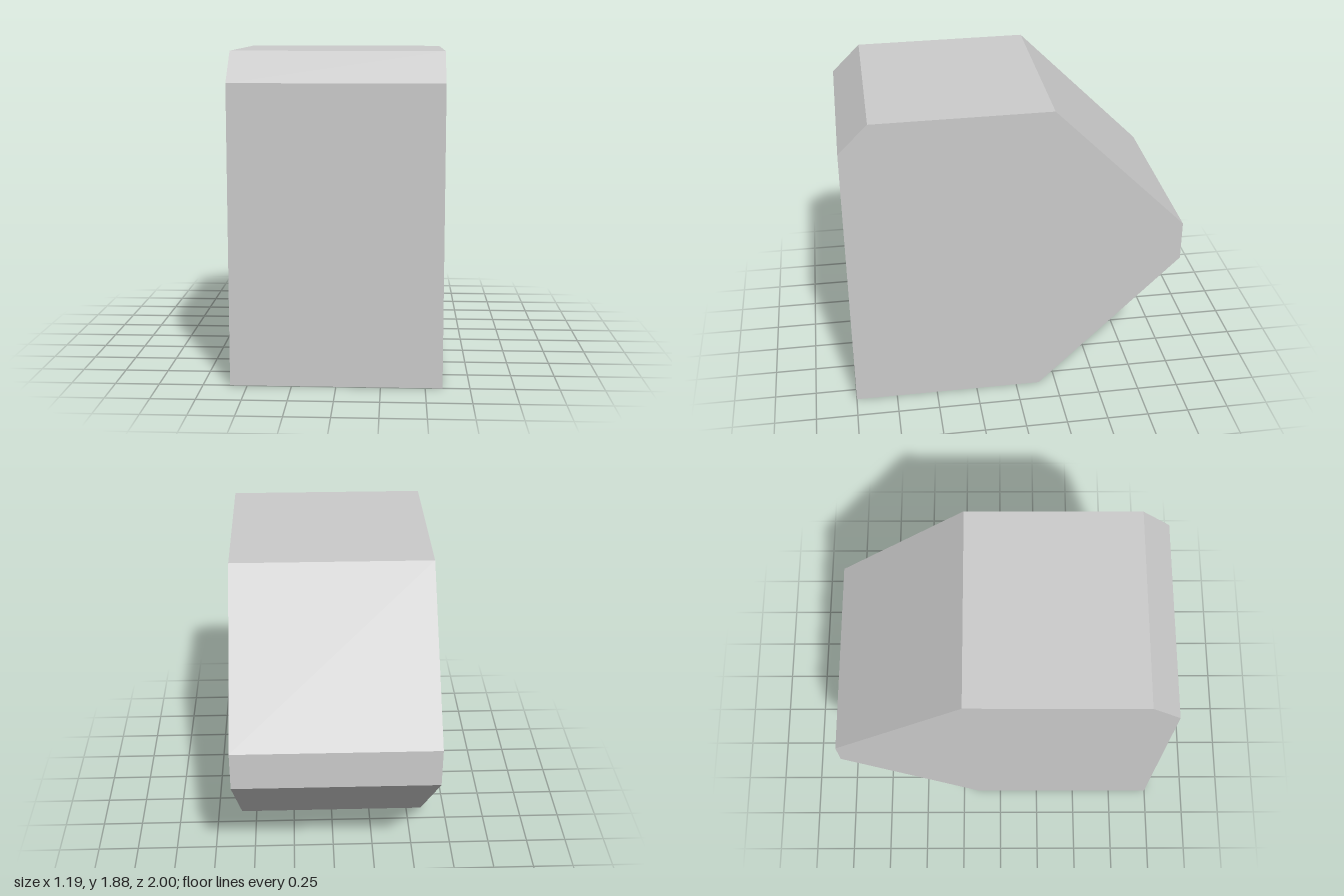
import * as THREE from 'three';

export function createModel() {
  const group = new THREE.Group();
  const width = 1.194;

  // Side profile as [z, y], from the bottom front edge round the back to the top front chamfer
  const profile = [
    [1, 0], [-0.145, 0], [-1, 0.852], [-1, 1.09],
    [-0.21, 1.875], [0.828, 1.867], [1, 1.697],
  ];
  const shape = new THREE.Shape(profile.map(([z, y]) => new THREE.Vector2(-z, y)));

  // Extrude across the width, then turn so the profile's front faces +z
  const geometry = new THREE.ExtrudeGeometry(shape, { depth: width, bevelEnabled: false });
  geometry.translate(0, 0, -width / 2);
  geometry.rotateY(Math.PI / 2);

  const body = new THREE.Mesh(
    geometry,
    new THREE.MeshStandardMaterial({ color: 0xcccccc, flatShading: true })
  );
  body.name = 'chamferedBlock';
  group.add(body);
  return group;
}
